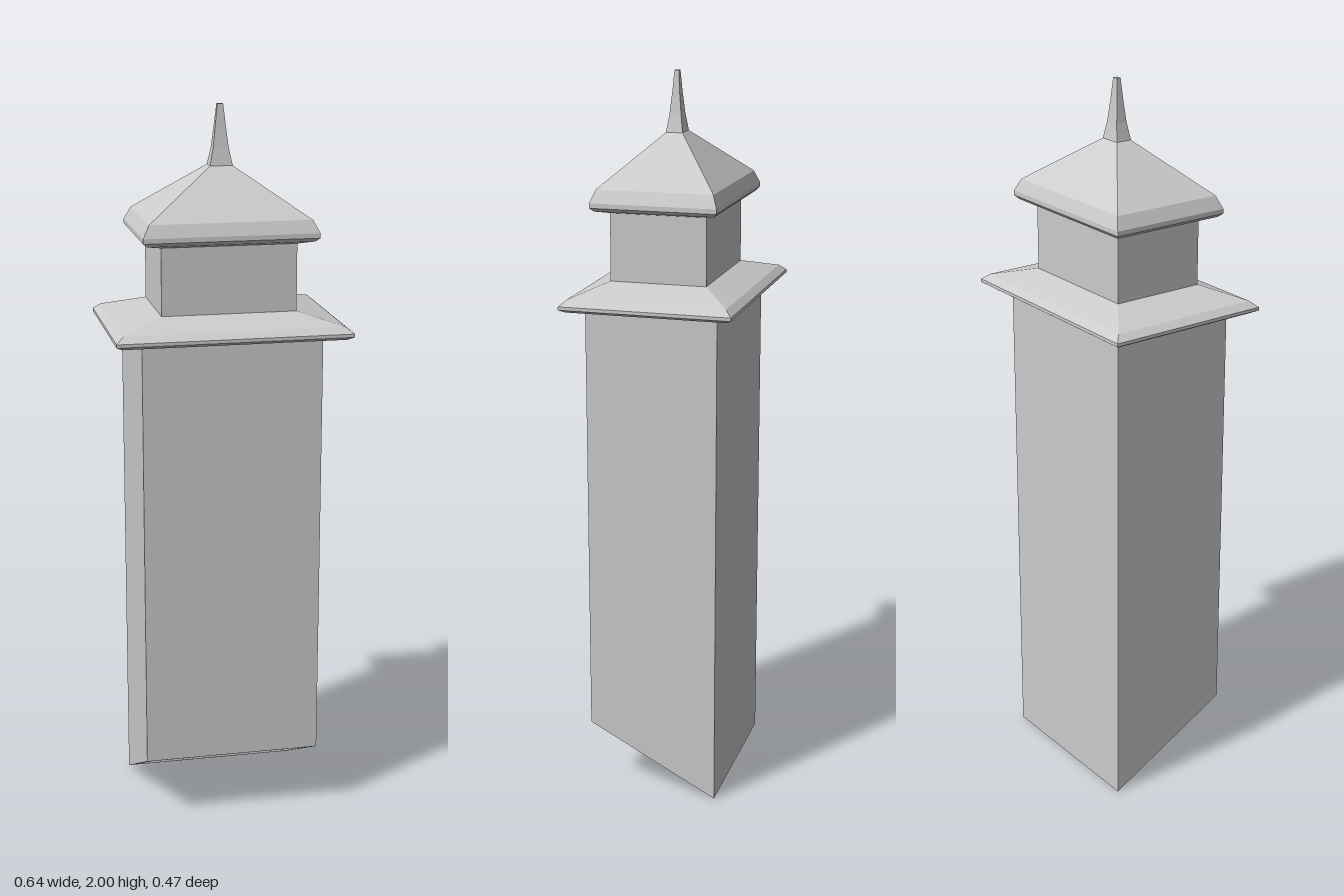
import * as THREE from 'three';

const material = new THREE.MeshStandardMaterial({ color: 0xcccccc, flatShading: true, side: THREE.DoubleSide });

// Lofts rectangular rings [halfX, halfZ, y], listed upwards along the outside; both ends are capped.
function loft(name, rings, rule = (x, y, z) => [x, y, z]) {
  const corners = rings.map(([hx, hz, y]) =>
    [[-hx, hz], [hx, hz], [hx, -hz], [-hx, -hz]].map(([x, z]) => rule(x, y, z)));
  const positions = [];
  const quad = (a, b, c, d) => positions.push(...a, ...b, ...c, ...a, ...c, ...d);
  for (let i = 0; i < corners.length - 1; i++) {
    const low = corners[i], high = corners[i + 1];
    for (let k = 0; k < 4; k++) {
      const n = (k + 1) % 4;
      quad(low[k], low[n], high[n], high[k]);
    }
  }
  const [a, b, c, d] = corners[0];
  quad(d, c, b, a);
  quad(...corners[corners.length - 1]);
  const geometry = new THREE.BufferGeometry();
  geometry.setAttribute('position', new THREE.Float32BufferAttribute(positions, 3));
  geometry.computeVertexNormals();
  const mesh = new THREE.Mesh(geometry, material);
  mesh.name = name;
  return mesh;
}

export function createModel() {
  const group = new THREE.Group();
  group.name = 'chimneyTower';

  // Hollow shaft: down the inside, across the rim, up the outside; its foot is cut along a slope
  const hx = 0.246, hz = 0.181, wall = 0.013, top = 1.4;
  const slopeFoot = (x, y, z) => [x, y > 0 ? y : 0.19 * (z + hz) / (2 * hz), z];
  const shaft = loft('shaft', [
    [hx - wall, hz - wall, top - 0.01],
    [hx - wall, hz - wall, 0],
    [hx, hz, 0],
    [hx, hz, top],
  ], slopeFoot);
  shaft.position.z = 0.003;
  group.add(shaft);

  // Wide lower eave
  group.add(loft('lowerEave', [
    [0.303, 0.22, 1.394],
    [0.32, 0.234, 1.403],
    [0.32, 0.234, 1.412],
    [0.3, 0.216, 1.428],
    [0.185, 0.133, 1.459],
  ]));

  // Narrower upper block
  group.add(loft('upperBlock', [
    [0.184, 0.132, 1.45],
    [0.184, 0.132, 1.65],
  ]));

  // Hipped cap roof with a rounded eave
  group.add(loft('capRoof', [
    [0.185, 0.133, 1.642],
    [0.225, 0.163, 1.651],
    [0.237, 0.172, 1.661],
    [0.237, 0.172, 1.674],
    [0.219, 0.159, 1.708],
    [0.031, 0.023, 1.838],
  ]));

  // Concave spire
  group.add(loft('spire', [
    [0.031, 0.023, 1.838],
    [0.021, 0.016, 1.885],
    [0.014, 0.01, 1.945],
    [0.008, 0.006, 2],
  ]));

  return group;
}
